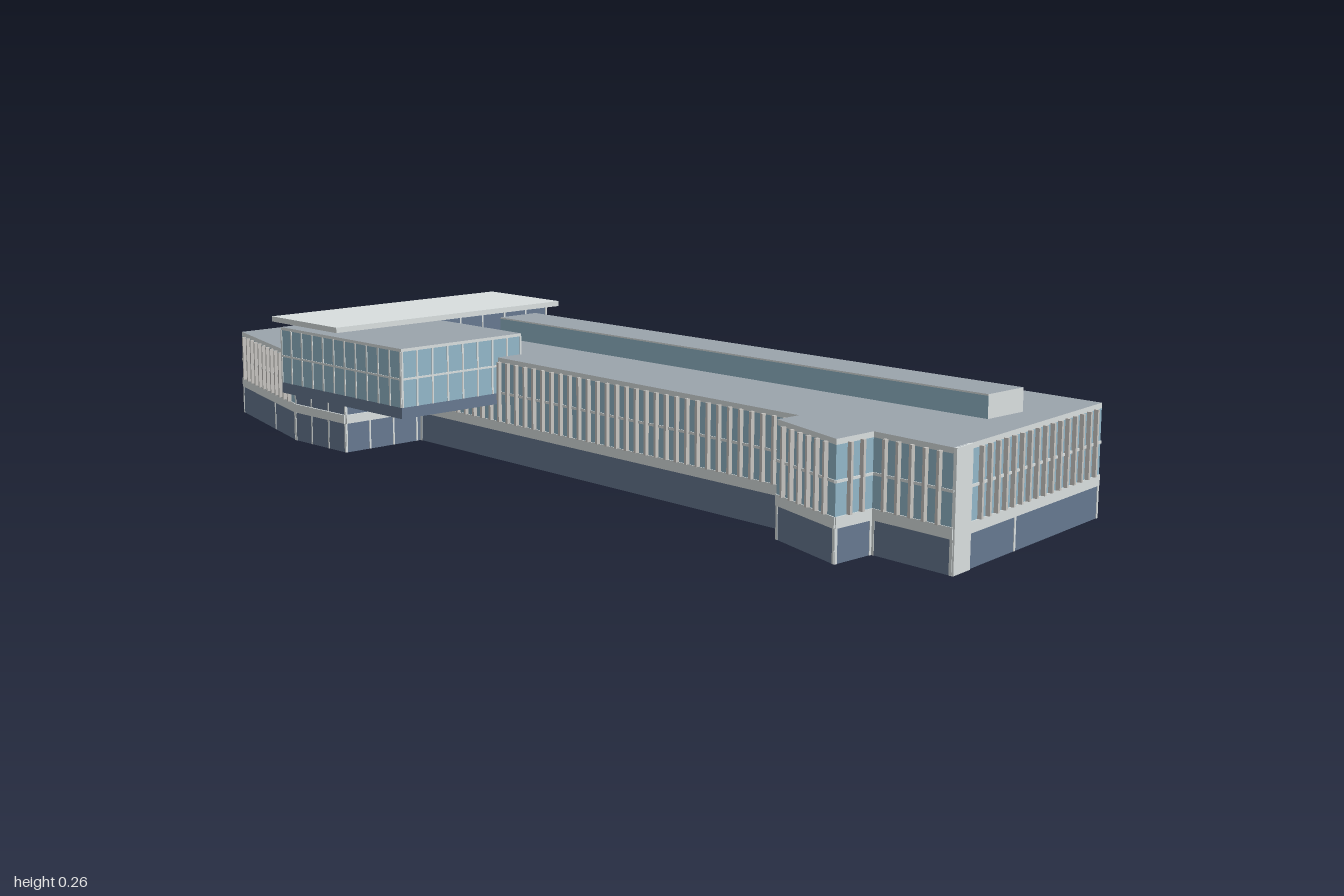
import * as THREE from 'three';

const mat = (name, color) => {
  const m = new THREE.MeshStandardMaterial({ color });
  m.name = name;
  return m;
};

export function createModel() {
  const slate = mat('slate panel', 0x667890);
  const light = mat('pale concrete', 0xd9dfdf);
  const glass = mat('window glass', 0x92b7c9);
  const roof = mat('grey roof', 0x9ba4ac);
  const floor = mat('underside', 0xcfcfcd);
  const finMat = mat('window fins', 0xc8c6c2);

  const model = new THREE.Group();
  model.name = 'building';

  // Box given by its minimum and maximum corners
  function box(parent, name, x0, x1, y0, y1, z0, z1, material) {
    const m = new THREE.Mesh(new THREE.BoxGeometry(x1 - x0, y1 - y0, z1 - z0), material);
    m.position.set((x0 + x1) / 2, (y0 + y1) / 2, (z0 + z1) / 2);
    m.name = name;
    parent.add(m);
  }

  // Upright prism over a floor plan of [x, z] corners
  function prism(parent, name, plan, y0, y1, cap, side) {
    const shape = new THREE.Shape(plan.map(([x, z]) => new THREE.Vector2(x, -z)));
    const geo = new THREE.ExtrudeGeometry(shape, { depth: y1 - y0, bevelEnabled: false });
    geo.rotateX(-Math.PI / 2);
    geo.translate(0, y0, 0);
    const m = new THREE.Mesh(geo, [cap, side]);
    m.name = name;
    parent.add(m);
  }

  // Frame on a wall: x runs along it, z points outward
  function wallFrame(parent, name, a, b) {
    const g = new THREE.Group();
    g.name = name;
    g.position.set(a[0], 0, a[1]);
    g.rotation.y = -Math.atan2(b[1] - a[1], b[0] - a[0]);
    parent.add(g);
    return { g, len: Math.hypot(b[0] - a[0], b[1] - a[1]) };
  }

  // Wing: slate base, pale bands, glazed storey, finned walls.
  // extraJoints maps a wall number to the place of a joint along it.
  function wing(name, plan, h, extraJoints, panelWall) {
    const g = new THREE.Group();
    g.name = name;
    model.add(g);
    prism(g, 'base', plan, 0, 0.06, floor, slate);
    prism(g, 'sillBand', plan, 0.06, 0.08, light, light);
    prism(g, 'glazing', plan, 0.08, h - 0.01, glass, glass);
    prism(g, 'roof', plan, h - 0.01, h, roof, light);
    for (let i = 0; i < plan.length - 1; i++) {
      const { g: w, len } = wallFrame(g, 'wall', plan[i], plan[i + 1]);
      const start = i === panelWall ? 0.053 : 0;
      if (start) box(w, 'cornerPanel', 0, start, 0, h, -0.003, 0.003, light);
      box(w, 'sill', 0, len, 0.06, 0.08, -0.002, 0.002, light);
      box(w, 'midRail', start, len, h * 0.65, h * 0.65 + 0.005, -0.002, 0.002, light);
      // fins at an even pitch, clear of the corners
      const n = Math.max(2, Math.round((len - start) / 0.0277));
      const pitch = (len - start) / n;
      for (let k = 1; k < n; k++) {
        const x = start + k * pitch;
        box(w, 'fin', x - 0.003, x + 0.003, 0.08, h - 0.008, -0.002, 0.008, finMat);
      }
      // pale joints in the base
      const joints = [0.003, len - 0.003];
      if (extraJoints[i]) joints.push(extraJoints[i] * len);
      for (const x of joints) {
        box(w, 'baseJoint', x - 0.003, x + 0.003, 0, 0.062, -0.002, 0.001, light);
      }
    }
  }

  wing('mainWing', [
    [-0.46, 0.105], [0.64, 0.14], [0.64, 0.195], [0.82, 0.251], [0.82, 0.157],
    [0.996, 0.168], [0.927, -0.343], [0.44, -0.35], [-0.04, -0.319], [-0.46, -0.255],
  ], 0.21, { 5: 0.4 }, 5);
  wing('sideWing', [[-0.64, -0.205], [-0.99, -0.12], [-0.99, 0.2], [-0.64, 0.3]], 0.185, { 2: 0.63 });

  // Panelled core between the wings
  const core = new THREE.Group();
  core.name = 'core';
  model.add(core);
  const corePlan = [[-0.64, 0.3], [-0.46, 0.3], [-0.46, -0.253], [-0.64, -0.207]];
  prism(core, 'coreWalls', corePlan, 0, 0.254, slate, slate);
  corePlan.forEach((a, i) => {
    const { g: w, len } = wallFrame(core, 'corePanels', a, corePlan[(i + 1) % 4]);
    const n = Math.round(len / 0.06);
    for (let k = 0; k <= n; k++) {
      const x = Math.min(Math.max((k * len) / n, 0.002), len - 0.002);
      box(w, 'panelJoint', x - 0.002, x + 0.002, 0, 0.254, -0.001, 0.001, light);
    }
    box(w, 'coreBand', 0, len, 0.061, 0.079, -0.002, 0.004, light);
    box(w, 'upperJoint', 0, len, 0.138, 0.143, -0.001, 0.001, light);
  });

  // Flat canopy roof over the core
  box(model, 'canopyRoof', -0.675, -0.445, 0.254, 0.265, -0.276, 0.329, light);

  // Projecting glazed room
  const room = new THREE.Group();
  room.name = 'projectingRoom';
  model.add(room);
  const [x0, x1, z0, z1] = [-0.6, -0.193, 0.052, 0.358];
  box(room, 'roomFloor', x0, x1, 0.115, 0.137, z0, z1, slate);
  box(room, 'roomGlass', x0, x1, 0.137, 0.247, z0, z1, glass);
  box(room, 'roomRoof', x0, x1, 0.247, 0.253, z0, z1, [light, light, roof, light, light, light]);
  const roomPlan = [[x0, z1], [x1, z1], [x1, z0], [x0, z0]];
  roomPlan.forEach((a, i) => {
    const { g: w, len } = wallFrame(room, 'roomMullions', a, roomPlan[(i + 1) % 4]);
    const n = Math.round(len / 0.038);
    for (let k = 0; k <= n; k++) {
      const x = Math.min(Math.max((k * len) / n, 0.002), len - 0.002);
      box(w, 'mullion', x - 0.002, x + 0.002, 0.137, 0.247, -0.001, 0.0015, light);
    }
    box(w, 'rail', 0, len, 0.191, 0.195, -0.001, 0.0015, light);
  });

  // Long roof light with solid ends
  box(model, 'roofLight', -0.4, 0.883, 0.208, 0.25, -0.168, -0.068,
    [light, light, glass, glass, glass, glass]);
  box(model, 'roofLightCap', -0.4, 0.883, 0.25, 0.253, -0.168, -0.068,
    [light, light, roof, light, light, light]);

  return model;
}
